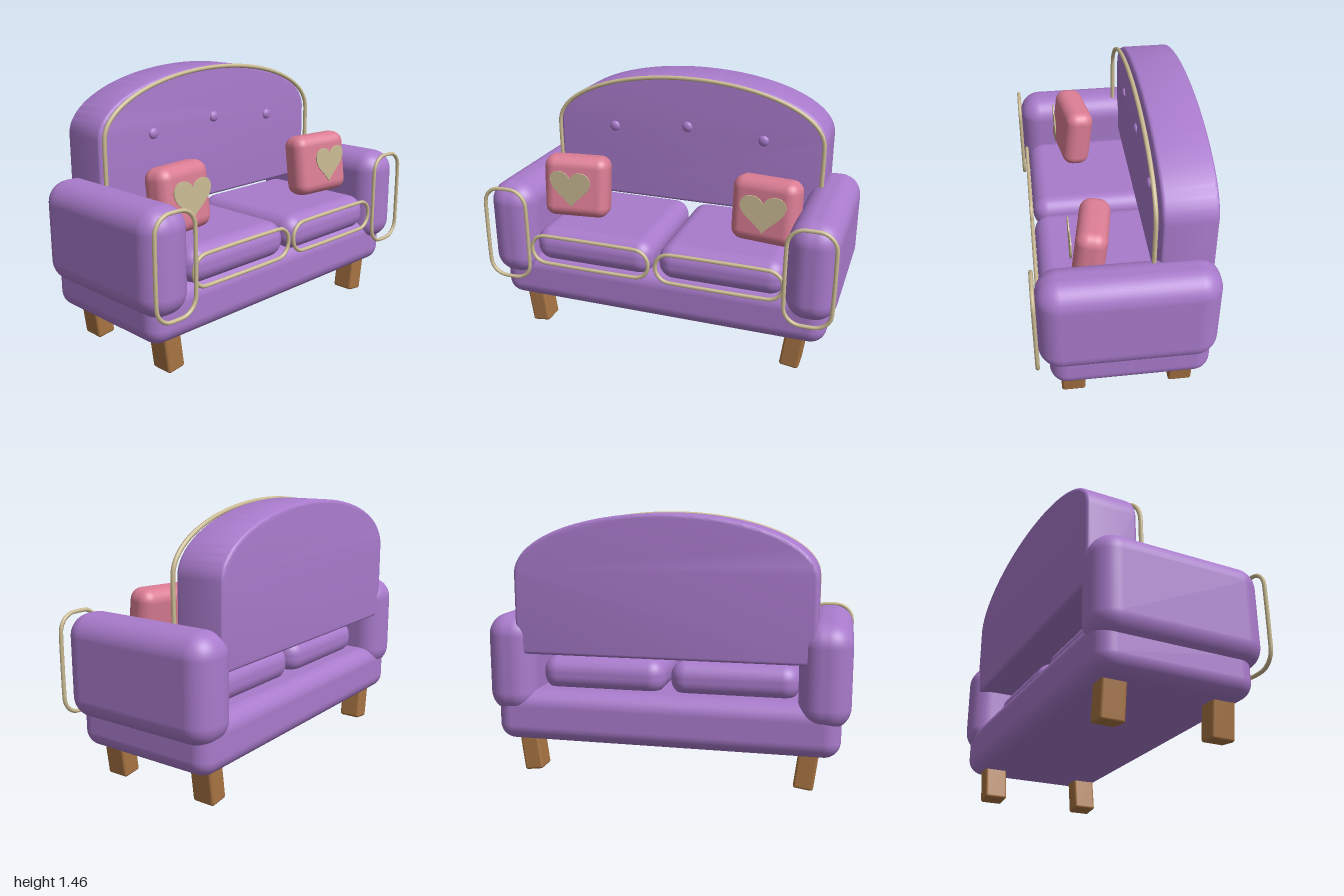
import * as THREE from 'three';
import { toCreasedNormals } from 'three/addons/utils/BufferGeometryUtils.js';
import { RoundedBoxGeometry } from 'three/addons/geometries/RoundedBoxGeometry.js';

export function createModel() {
  const model = new THREE.Group();
  model.name = 'sofa';

  const material = (name, color) => {
    const m = new THREE.MeshStandardMaterial({ color });
    m.name = name;
    return m;
  };
  const fabric = material('purple fabric', 0xa97bcc);
  const piping = material('beige piping', 0xcdbd95);
  const pink = material('pink fabric', 0xdb7d94);
  const wood = material('brown wood', 0xa87443);

  const add = (name, geometry, mat, x = 0, y = 0, z = 0) => {
    const mesh = new THREE.Mesh(geometry, mat);
    mesh.name = name;
    mesh.position.set(x, y, z);
    model.add(mesh);
    return mesh;
  };
  const softBox = (w, h, d, r) => new RoundedBoxGeometry(w, h, d, 6, r);

  // Closed loop of piping following a rounded rectangle
  const pipingLoop = (w, h, r) => {
    const points = [];
    const corners = [[1, 1], [-1, 1], [-1, -1], [1, -1]];
    corners.forEach(([sx, sy], i) => {
      for (let k = 0; k <= 8; k++) {
        const a = (i + k / 8) * Math.PI / 2;
        points.push(new THREE.Vector3(
          sx * (w / 2 - r) + r * Math.cos(a), sy * (h / 2 - r) + r * Math.sin(a), 0));
      }
    });
    const path = new THREE.CatmullRomCurve3(points, true);
    return new THREE.TubeGeometry(path, 96, 0.011, 8, true);
  };

  // Base
  add('base', softBox(1.9, 0.29, 0.85, 0.09), fabric, 0, 0.335, -0.02);

  // Backrest with an elliptical top
  const bevel = 0.02;
  const halfWidth = 0.815 - bevel;
  const outline = new THREE.Shape();
  outline.moveTo(-halfWidth, 0.69 + bevel);
  outline.lineTo(halfWidth, 0.69 + bevel);
  outline.lineTo(halfWidth, 1.13);
  outline.absellipse(0, 1.13, halfWidth, 0.327 - bevel, 0, Math.PI, false);
  outline.closePath();
  const back = new THREE.ExtrudeGeometry(outline, {
    depth: 0.28 - 2 * bevel, bevelSize: bevel, bevelThickness: bevel,
    bevelSegments: 4, curveSegments: 40,
  });
  add('backrest', toCreasedNormals(back, 0.6), fabric, 0, 0, -0.445 + bevel);

  // Piping over the front edge of the backrest
  const arch = [new THREE.Vector3(-0.802, 0.7, 0), new THREE.Vector3(-0.802, 0.92, 0)];
  for (let i = 0; i <= 32; i++) {
    const a = Math.PI * (1 - i / 32);
    arch.push(new THREE.Vector3(0.802 * Math.cos(a), 1.13 + 0.32 * Math.sin(a), 0));
  }
  arch.push(new THREE.Vector3(0.802, 0.92, 0), new THREE.Vector3(0.802, 0.7, 0));
  add('backrestPiping',
    new THREE.TubeGeometry(new THREE.CatmullRomCurve3(arch), 120, 0.012, 8), piping, 0, 0, -0.137);

  // Buttons on the backrest
  for (const [x, y] of [[-0.455, 1.122], [0, 1.16], [0.455, 1.122]]) {
    add('button', new THREE.SphereGeometry(0.031, 20, 14), fabric, x, y, -0.165).scale.z = 0.6;
  }

  // Heart outline, centred on its widest part
  const heart = new THREE.Shape();
  heart.moveTo(0, -0.115);
  heart.bezierCurveTo(0.03, -0.06, 0.125, -0.02, 0.125, 0.045);
  heart.bezierCurveTo(0.125, 0.115, 0.02, 0.115, 0, 0.055);
  heart.bezierCurveTo(-0.02, 0.115, -0.125, 0.115, -0.125, 0.045);
  heart.bezierCurveTo(-0.125, -0.02, -0.03, -0.06, 0, -0.115);
  const heartPlate = new THREE.ExtrudeGeometry(heart, {
    depth: 0.006, bevelEnabled: false, curveSegments: 16,
  });

  // Mirrored parts
  for (const side of [-1, 1]) {
    const label = side > 0 ? 'left' : 'right';

    add(label + 'Arm', softBox(0.275, 0.56, 0.93, 0.12), fabric, side * 0.86, 0.625, -0.005);
    add(label + 'ArmPiping', pipingLoop(0.252, 0.54, 0.095), piping, side * 0.862, 0.625, 0.468);

    add(label + 'SeatCushion', softBox(0.71, 0.2, 0.75, 0.09), fabric, side * 0.37, 0.555, 0.055);
    add(label + 'SeatPiping', pipingLoop(0.705, 0.168, 0.082), piping, side * 0.373, 0.546, 0.442);

    // Throw pillow turned inwards and leaning back, with a heart in front
    const pillow = add(label + 'Pillow', softBox(0.38, 0.36, 0.165, 0.065), pink,
      side * 0.56, 0.843, 0.15);
    pillow.rotation.set(-0.12, -side * 0.17, 0);
    add(label + 'Heart', heartPlate, piping, side * 0.56, 0.86, 0.257);

    // Legs leaning towards the middle at the foot
    for (const [end, z] of [['Front', 0.28], ['Back', -0.312]]) {
      const leg = add(label + end + 'Leg', softBox(0.108, 0.25, 0.13, 0.015), wood,
        side * 0.775, 0.13, z);
      leg.rotation.z = -side * 0.13;
    }
  }

  return model;
}
